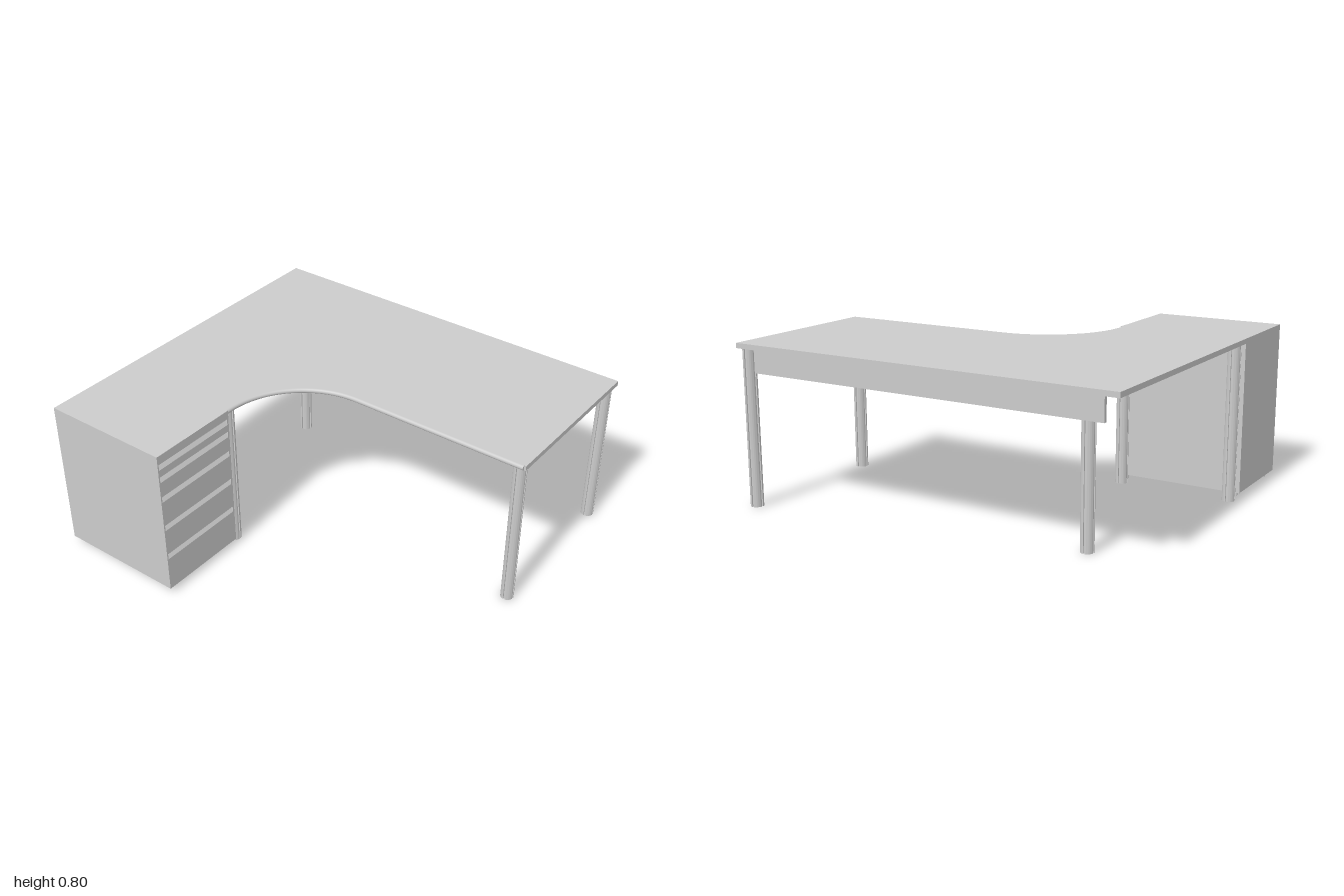
import * as THREE from 'three';
import { toCreasedNormals } from 'three/addons/utils/BufferGeometryUtils.js';

export function createModel() {
  const group = new THREE.Group();
  const mat = new THREE.MeshStandardMaterial({ color: 0xcccccc });
  const add = (name, geo, x = 0, y = 0, z = 0) => {
    const m = new THREE.Mesh(geo, mat);
    m.name = name;
    m.position.set(x, y, z);
    group.add(m);
    return m;
  };
  // box given by its limits
  const box = (name, x0, x1, y0, y1, z0, z1) =>
    add(name, new THREE.BoxGeometry(x1 - x0, y1 - y0, z1 - z0), (x0 + x1) / 2, (y0 + y1) / 2, (z0 + z1) / 2);

  const TOP = 0.8, THICK = 0.025, NOSE = THICK / 2;
  const PED_X = -0.335, PED_Z = 0.43, BACK = -0.905, FRONT = 0.905;
  const arcX = 0.08, arcZ = 0.405, arcR = 0.4275;

  // L-shaped worktop with a concave inner corner (drawn in x, z)
  const top = new THREE.Shape();
  top.moveTo(-1, BACK);
  top.lineTo(1, BACK);
  top.lineTo(1, arcZ - arcR);
  top.lineTo(arcX, arcZ - arcR);
  top.absarc(arcX, arcZ, arcR, -Math.PI / 2, -Math.PI, true);
  top.lineTo(arcX - arcR, PED_Z);
  top.lineTo(-1, PED_Z);
  top.closePath();
  const topGeo = new THREE.ExtrudeGeometry(top, { depth: THICK, bevelEnabled: false, curveSegments: 32 });
  topGeo.rotateX(Math.PI / 2);
  add('worktop', toCreasedNormals(topGeo, 0.5), 0, TOP, 0);

  // half-round nose along the user's edge
  const noseY = TOP - NOSE;
  const pts = [];
  for (let i = 0; i <= 32; i++) {
    const a = Math.PI + (i / 32) * Math.PI / 2;
    pts.push(new THREE.Vector3(arcX + arcR * Math.cos(a), noseY, arcZ + arcR * Math.sin(a)));
  }
  const arc = new THREE.CatmullRomCurve3(pts);
  add('curvedEdge', new THREE.TubeGeometry(arc, 40, NOSE, 16));
  const rod = (name, len) => add(name, new THREE.CylinderGeometry(NOSE, NOSE, len, 16));
  const straight = rod('straightEdge', 0.99 - arcX);
  straight.rotation.z = Math.PI / 2;
  straight.position.set((0.99 + arcX) / 2, noseY, arcZ - arcR);
  const side = rod('sideEdge', PED_Z - arcZ);
  side.rotation.x = Math.PI / 2;
  side.position.set(arcX - arcR, noseY, (PED_Z + arcZ) / 2);

  // round legs with four shallow vertical grooves
  const legShape = new THREE.Shape();
  const R = 0.032, r = 0.026, g = 0.13;
  for (let q = 0; q < 4; q++) {
    const a = q * Math.PI / 2;
    legShape.lineTo(r * Math.cos(a - g), r * Math.sin(a - g));
    legShape.lineTo(r * Math.cos(a + g), r * Math.sin(a + g));
    legShape.absarc(0, 0, R, a + g, a + Math.PI / 2 - g, false);
  }
  // drop the implicit start at the origin
  const legOutline = new THREE.Shape(legShape.getPoints(8).filter(p => p.length() > 0.01));
  const legGeo = new THREE.ExtrudeGeometry(legOutline, { depth: TOP - THICK, bevelEnabled: false });
  legGeo.rotateX(-Math.PI / 2);
  const leg = toCreasedNormals(legGeo, 0.5);
  [[0.957, -0.054], [0.957, -0.865], [-0.71, -0.61], [-0.377, 0.39], [-0.96, 0.39]]
    .forEach(([x, z]) => add('leg', leg, x, 0, z));

  // modesty panel under the back edge
  box('modestyPanel', -0.92, 0.915, 0.66, TOP - THICK, -0.88, -0.862);

  // drawer pedestal: section with sloped finger grips, closed by two side panels
  const ped = new THREE.Shape();
  ped.moveTo(-1, 0.03);
  ped.lineTo(PED_X, 0.03);
  for (const y of [0.209, 0.379, 0.544, 0.655, 0.724]) {
    ped.lineTo(PED_X, y);
    ped.lineTo(PED_X - 0.02, y + 0.031);
    ped.lineTo(PED_X, y + 0.031);
  }
  ped.lineTo(PED_X, TOP);
  ped.lineTo(-1, TOP);
  ped.closePath();
  const z0 = PED_Z + 0.01, z1 = FRONT - 0.007;
  add('drawerUnit', new THREE.ExtrudeGeometry(ped, { depth: z1 - z0, bevelEnabled: false }), 0, 0, z0);
  box('unitInnerSide', -1, PED_X, 0.03, TOP, PED_Z, z0);
  box('unitOuterSide', -1, PED_X, 0.03, TOP, z1, FRONT);

  // small feet under the pedestal
  const foot = new THREE.CylinderGeometry(0.008, 0.008, 0.03, 12);
  for (const x of [-0.965, -0.37])
    for (const z of [0.475, 0.868]) add('foot', foot, x, 0.015, z);

  return group;
}
